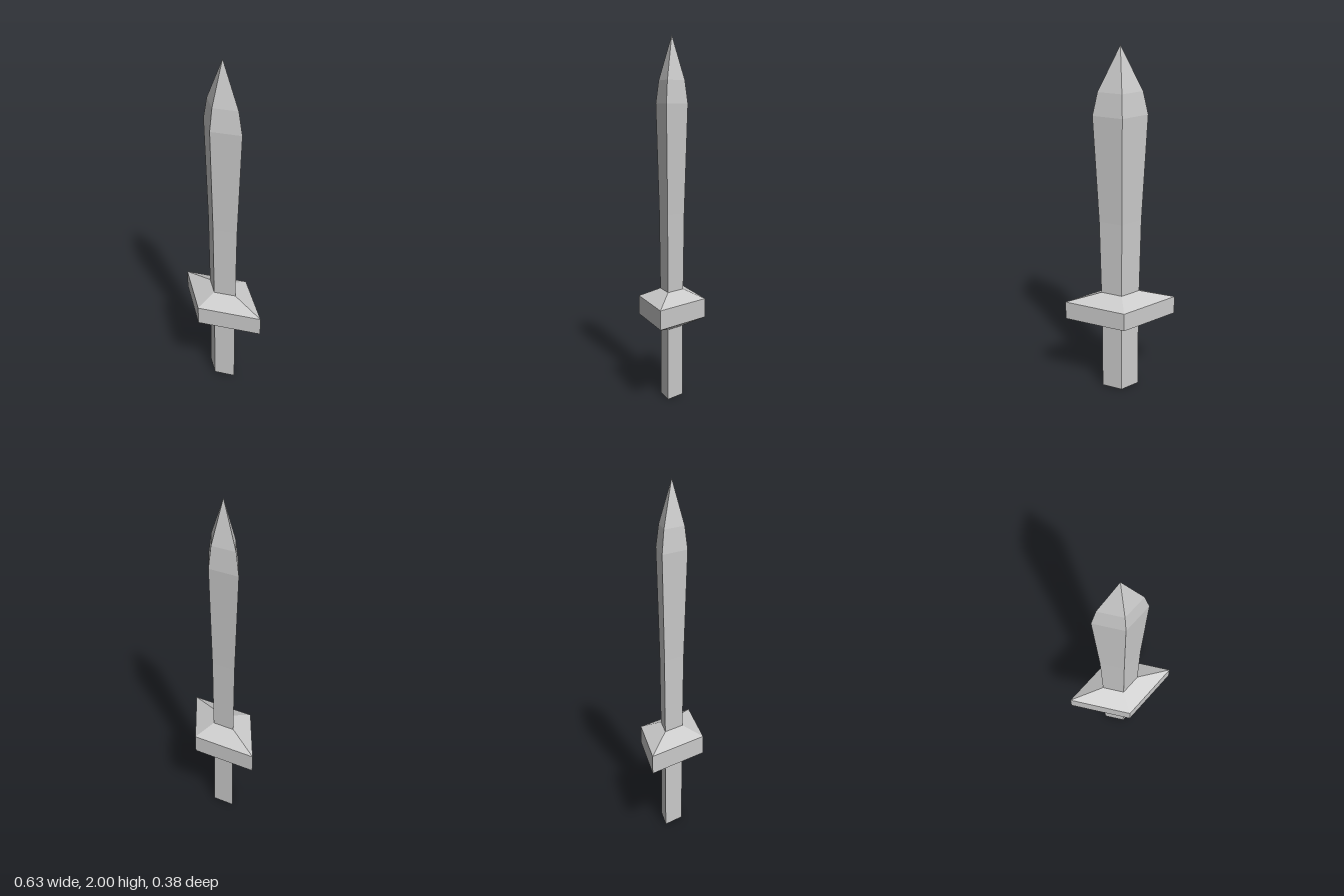
import * as THREE from 'three';

const material = new THREE.MeshStandardMaterial({ color: 0xcccccc, flatShading: true });

// Four-sided lathe flattened in z gives a diamond cross-section; profile is [radius, y] from bottom to top
function diamondPart(name, profile) {
  const points = profile.map(([r, y]) => new THREE.Vector2(r, y));
  const geometry = new THREE.LatheGeometry(points, 4);
  geometry.scale(1, 1, 0.6);
  const mesh = new THREE.Mesh(geometry, material);
  mesh.name = name;
  return mesh;
}

export function createModel() {
  const sword = new THREE.Group();
  sword.name = 'sword';
  sword.add(
    // Straight handle, closed at the bottom
    diamondPart('grip', [[0, 0], [0.105, 0], [0.105, 0.4]]),
    // Wide crossguard with bevels above and below
    diamondPart('guard', [[0.105, 0.4], [0.314, 0.455], [0.314, 0.56], [0.108, 0.61]]),
    // Blade widening towards the point
    diamondPart('blade', [[0.108, 0.61], [0.117, 1.04], [0.148, 1.635], [0.12, 1.76], [0, 2]])
  );
  return sword;
}
